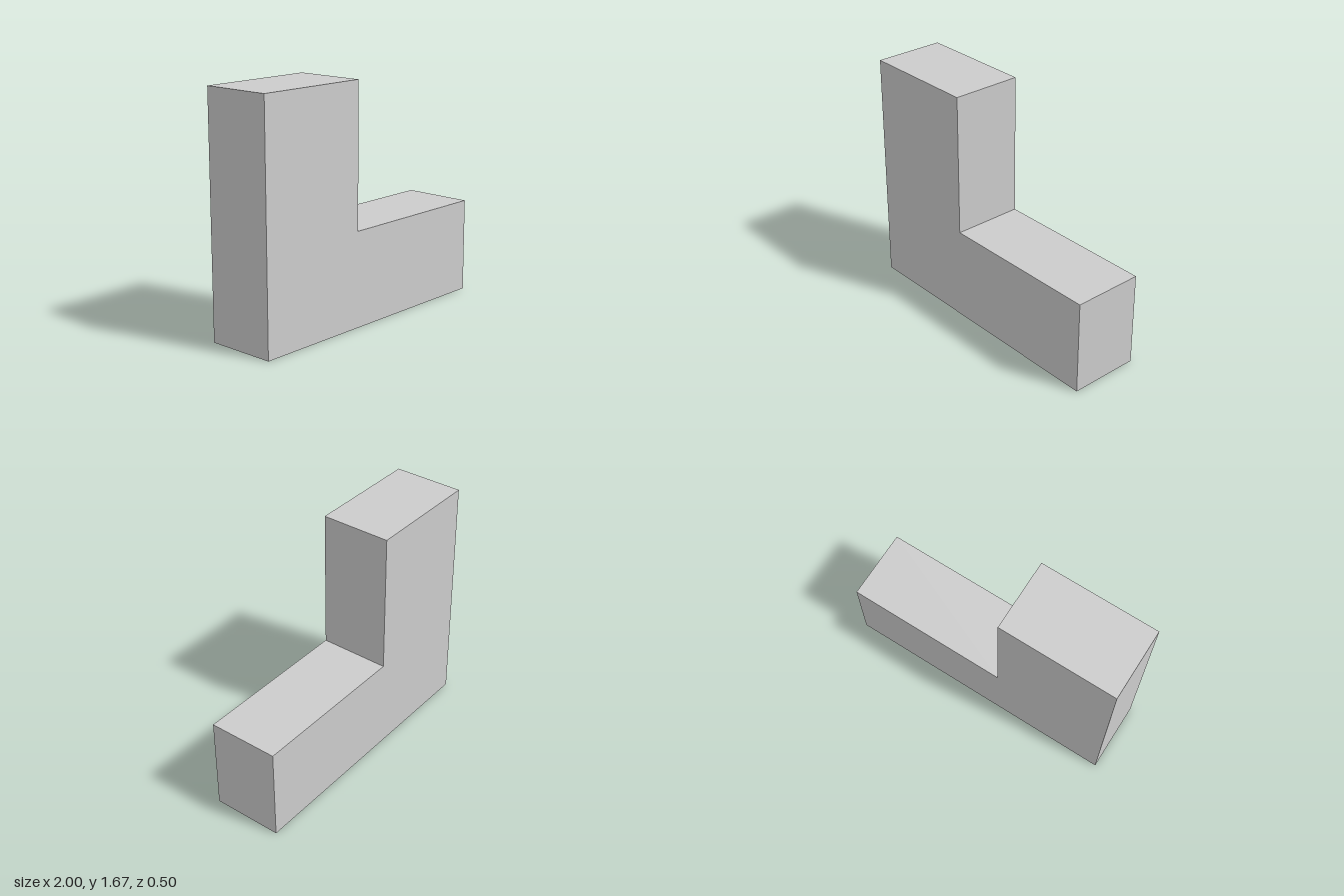
import * as THREE from 'three';

export function createModel() {
  const group = new THREE.Group();
  group.name = 'lBlock';

  // L-shaped outline: tall column on the right (-x), low arm towards the left (+x)
  const depth = 0.5, columnEdge = -1 / 6, armTop = 2 / 3, columnTop = 5 / 3;
  const outline = new THREE.Shape([
    [-1, 0], [1, 0], [1, armTop],
    [columnEdge, armTop], [columnEdge, columnTop], [-1, columnTop],
  ].map(([x, y]) => new THREE.Vector2(x, y)));

  // Solid block, centred front to back
  const geometry = new THREE.ExtrudeGeometry(outline, { depth, bevelEnabled: false });
  geometry.translate(0, 0, -depth / 2);

  const block = new THREE.Mesh(
    geometry,
    new THREE.MeshStandardMaterial({ color: 0xcccccc, flatShading: true })
  );
  block.name = 'block';
  group.add(block);
  return group;
}
